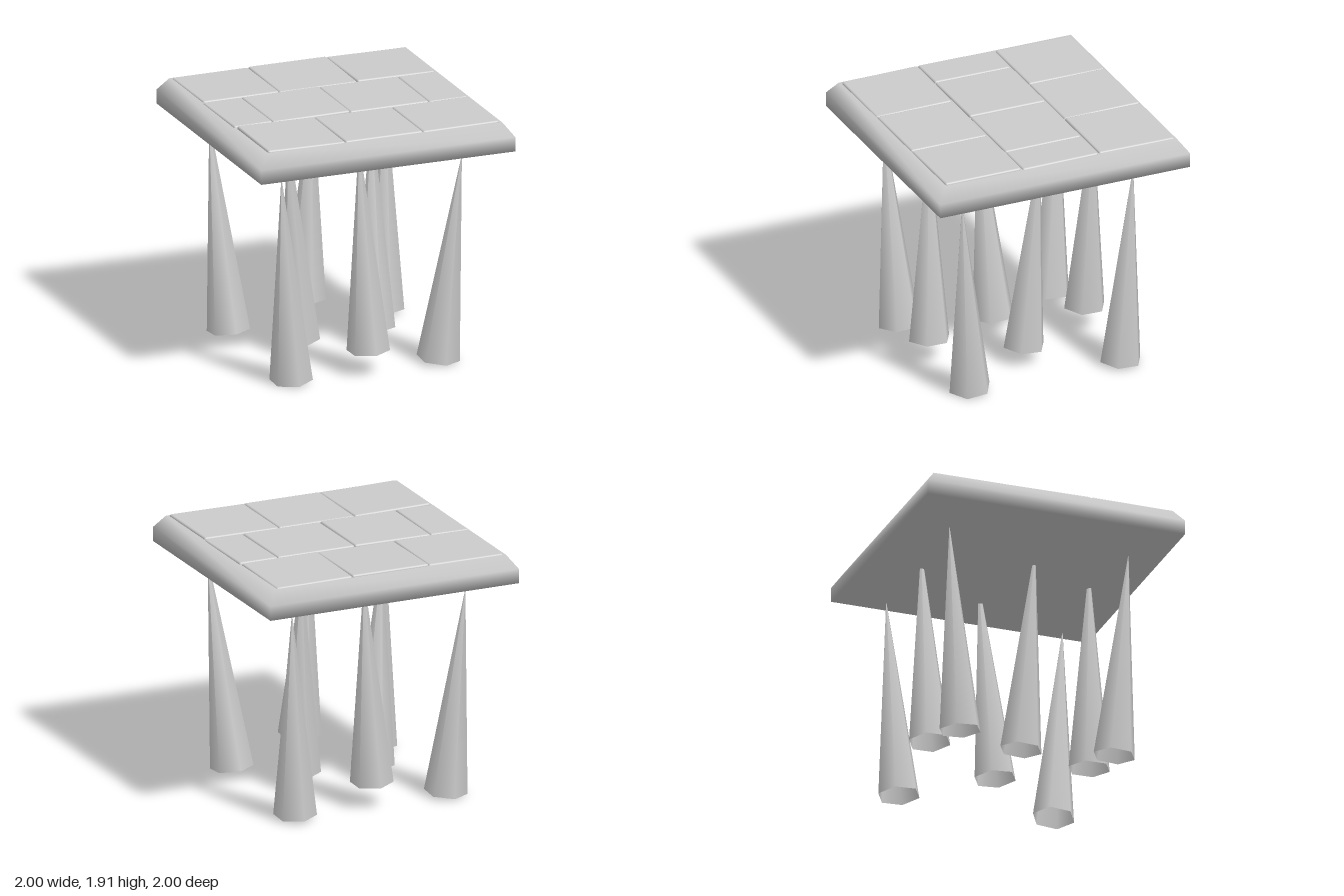
import * as THREE from 'three';
import { RoundedBoxGeometry } from 'three/addons/geometries/RoundedBoxGeometry.js';

const material = new THREE.MeshStandardMaterial({ color: 0xcccccc });
const openMaterial = new THREE.MeshStandardMaterial({ color: 0xcccccc, side: THREE.DoubleSide });

function seededRandom(seed) {
  return () => {
    seed = (seed * 16807) % 2147483647;
    return seed / 2147483647;
  };
}

// Square platform: bevelled rim above a shallow inverted pyramid
function createPlatform() {
  const profile = [[0, 1.45], [1, 1.69], [1, 1.8], [0.93, 1.897], [0, 1.897]]
    .map(([half, y]) => new THREE.Vector2(half * Math.SQRT2, y));
  const mesh = new THREE.Mesh(new THREE.LatheGeometry(profile, 4, Math.PI / 4), material);
  mesh.name = 'platform';
  return mesh;
}

// Three rows of slightly uneven paving slabs, the middle row staggered
function createPaving() {
  const paving = new THREE.Group();
  paving.name = 'paving';
  const random = seededRandom(71);
  const rows = [
    { z: [-0.92, -0.315], x: [-0.915, -0.315, 0.3, 0.91] },
    { z: [-0.305, 0.3], x: [-0.925, -0.62, -0.01, 0.61, 0.92] },
    { z: [0.31, 0.915], x: [-0.91, -0.3, 0.31, 0.91] },
  ];
  for (const { z, x } of rows) {
    for (let i = 0; i < x.length - 1; i++) {
      const slab = new THREE.Mesh(
        new RoundedBoxGeometry(x[i + 1] - x[i], 0.05, z[1] - z[0], 2, 0.015), material);
      slab.position.set((x[i] + x[i + 1]) / 2, 1.883 + random() * 0.004, (z[0] + z[1]) / 2);
      slab.rotation.set((random() - 0.5) * 0.03, 0, (random() - 0.5) * 0.03);
      slab.name = 'pavingSlab';
      paving.add(slab);
    }
  }
  return paving;
}

// Hollow six-sided spike from the centre of its open base to its tip
function createSpike(base, tip) {
  const from = new THREE.Vector3(...base);
  const axis = new THREE.Vector3(...tip).sub(from);
  const length = axis.length();
  const geometry = new THREE.CylinderGeometry(0.002, 0.16, length, 6, 1, true);
  geometry.translate(0, length / 2, 0);
  const spike = new THREE.Mesh(geometry, openMaterial);
  spike.position.copy(from);
  spike.quaternion.setFromUnitVectors(new THREE.Vector3(0, 1, 0), axis.normalize());
  spike.name = 'spike';
  return spike;
}

export function createModel() {
  const model = new THREE.Group();
  model.name = 'spikedPlatform';
  model.add(createPlatform(), createPaving());

  const spikes = new THREE.Group();
  spikes.name = 'spikes';
  const placements = [
    // corners
    [[0.57, 0.025, 0.57], [0.705, 1.59, 0.69]],
    [[-0.6, 0.018, 0.6], [-0.705, 1.59, 0.67]],
    [[0.62, 0.03, -0.615], [0.68, 1.59, -0.69]],
    [[-0.6, 0.025, -0.6], [-0.7, 1.59, -0.72]],
    // front and back
    [[-0.005, 0.178, 0.63], [-0.068, 1.76, 0.605]],
    [[0, 0.19, -0.61], [0.08, 1.76, -0.645]],
    // inner pair
    [[0.292, 0.125, 0.01], [0.325, 1.69, -0.105]],
    [[-0.292, 0.1, -0.01], [-0.4, 1.67, 0.06]],
  ];
  for (const [base, tip] of placements) spikes.add(createSpike(base, tip));
  model.add(spikes);
  return model;
}
